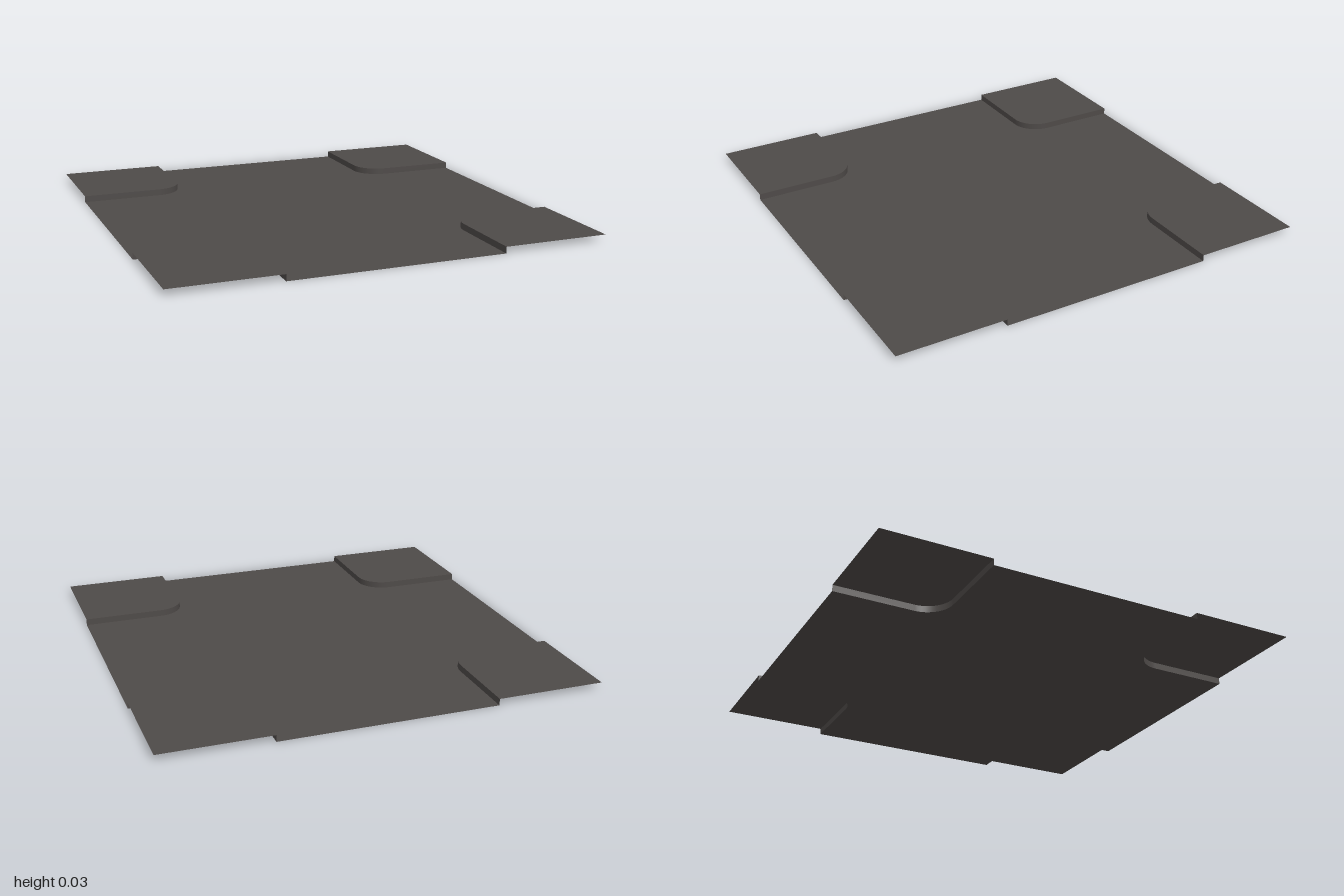
import * as THREE from 'three';
import { mergeGeometries } from 'three/addons/utils/BufferGeometryUtils.js';

const EDGE = 1, INNER = 0.5, RADIUS = 0.125, HEIGHT = 0.03, STEPS = 12;
const C = INNER + RADIUS; // centre of the rounded kerb corner

// Kerb line of one quadrant, from the +x edge round to the +y edge
function kerbLine() {
  const pts = [new THREE.Vector2(EDGE, INNER)];
  for (let i = 0; i <= STEPS; i++) {
    const a = Math.PI * (1.5 - 0.5 * i / STEPS);
    pts.push(new THREE.Vector2(C + RADIUS * Math.cos(a), C + RADIUS * Math.sin(a)));
  }
  pts.push(new THREE.Vector2(INNER, EDGE));
  return pts;
}

// Flat sheet facing up
function sheet(points) {
  return new THREE.ShapeGeometry(new THREE.Shape(points)).rotateX(-Math.PI / 2);
}

export function createModel() {
  const model = new THREE.Group();
  model.name = 'roadCrossing';
  const asphalt = new THREE.MeshStandardMaterial({ color: 0x4e4a48, side: THREE.DoubleSide });
  asphalt.name = 'asphalt';

  const add = (parent, name, geometry) => {
    const mesh = new THREE.Mesh(geometry, asphalt);
    mesh.name = name;
    parent.add(mesh);
  };

  // Cross-shaped road with rounded inner corners
  const origin = new THREE.Vector2();
  const outline = [];
  for (let k = 0; k < 4; k++) {
    outline.push(...kerbLine().map(p => p.rotateAround(origin, k * Math.PI / 2)));
  }
  add(model, 'road', sheet(outline));

  // Raised pavement corner in the +x, +z quadrant
  const pavement = sheet([...kerbLine(), new THREE.Vector2(EDGE, EDGE)])
    .rotateY(-Math.PI / 2).translate(0, HEIGHT, 0);

  // Kerb wall: two straight runs joined by a quarter round
  const run = EDGE - C, mid = (EDGE + C) / 2;
  const kerb = mergeGeometries([
    new THREE.PlaneGeometry(run, HEIGHT).rotateY(-Math.PI / 2).translate(INNER, HEIGHT / 2, mid),
    new THREE.PlaneGeometry(run, HEIGHT).rotateY(Math.PI).translate(mid, HEIGHT / 2, INNER),
    new THREE.CylinderGeometry(RADIUS, RADIUS, HEIGHT, STEPS, 1, true, Math.PI, Math.PI / 2)
      .translate(C, HEIGHT / 2, C),
  ]);

  // Four corners
  for (let k = 0; k < 4; k++) {
    const corner = new THREE.Group();
    corner.name = 'corner' + (k + 1);
    add(corner, 'pavement', pavement);
    add(corner, 'kerb', kerb);
    corner.rotation.y = k * Math.PI / 2;
    model.add(corner);
  }
  return model;
}
